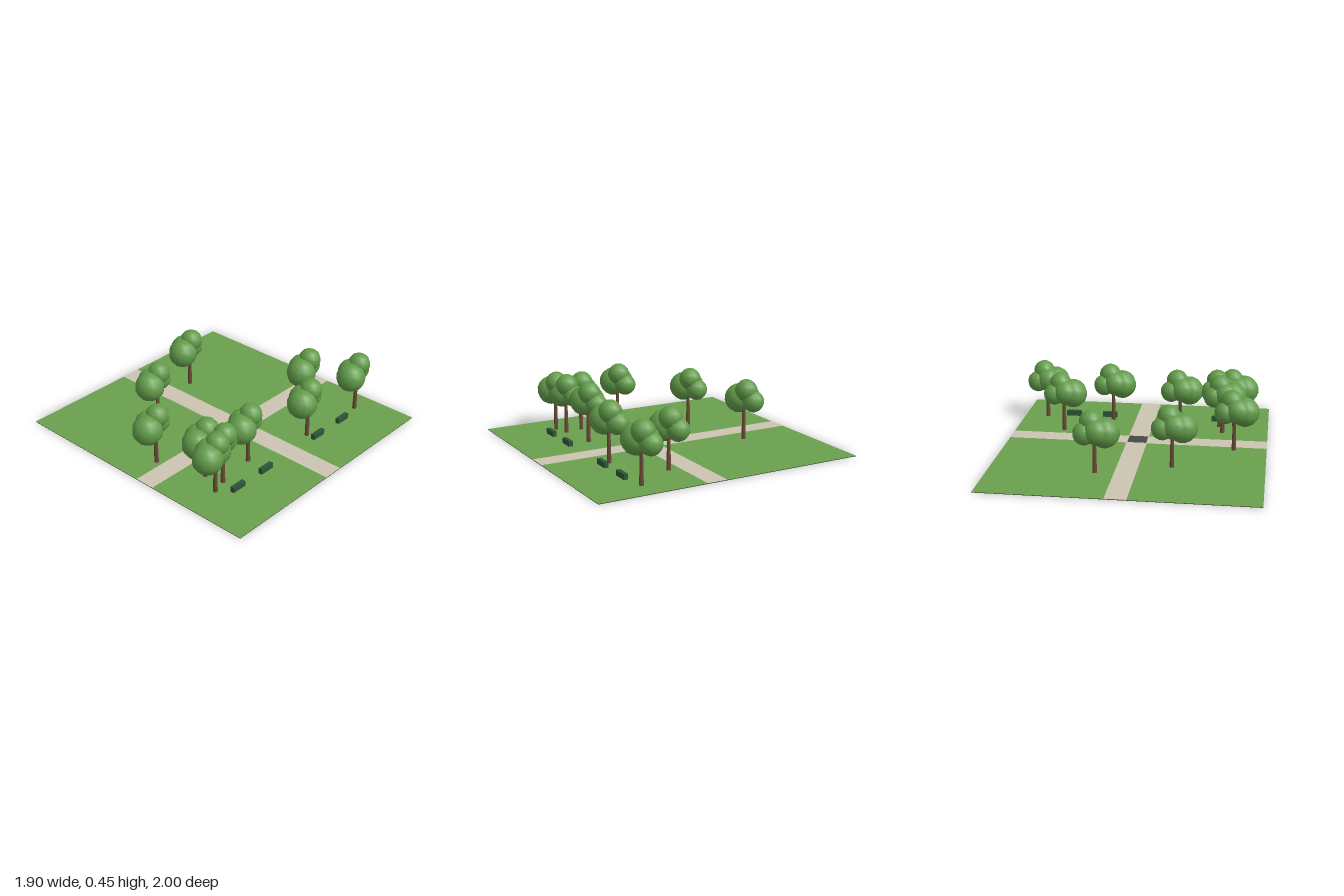
import * as THREE from 'three';

function material(name, color) {
  const m = new THREE.MeshStandardMaterial({ color });
  m.name = name;
  return m;
}

export function createModel() {
  const park = new THREE.Group();
  park.name = 'park';

  const grass = material('grass green', 0x6aa04e);
  const paving = material('path beige', 0xcdc4b2);
  const stone = material('plaza grey', 0x474744);
  const soil = material('underside dark', 0x3a3d32);
  const bark = material('bark brown', 0x6a4a36);
  const leaves = material('leaf green', 0x629c4a);
  const paint = material('bench green', 0x2e5439);

  function add(parent, name, geometry, mat, x, y, z) {
    const mesh = new THREE.Mesh(geometry, mat);
    mesh.name = name;
    mesh.position.set(x, y, z);
    parent.add(mesh);
    return mesh;
  }

  // Thin dark base, then flat layers: lawn, crossing paths, central square
  add(park, 'base', new THREE.BoxGeometry(1.9, 0.003, 2), soil, 0, 0.0015, 0);
  const sheet = (name, w, d, mat, y, z) =>
    add(park, name, new THREE.PlaneGeometry(w, d).rotateX(-Math.PI / 2), mat, 0, y, z);
  sheet('lawn', 1.9, 2, grass, 0.004, 0);
  sheet('crossPath', 1.9, 0.15, paving, 0.0055, 0.14);
  sheet('mainPath', 0.15, 2, paving, 0.006, 0);
  sheet('centralSquare', 0.14, 0.14, stone, 0.0075, 0.14);

  // Trees share one trunk and one set of foliage lobes: x, y, z, radius
  const trunkGeometry = new THREE.CylinderGeometry(0.011, 0.016, 0.28, 8);
  const lobeGeometry = new THREE.SphereGeometry(1, 12, 9);
  const lobes = [
    [-0.07, 0.297, -0.002, 0.107],
    [-0.022, 0.312, -0.042, 0.092],
    [0.065, 0.295, -0.035, 0.08],
    [0.022, 0.372, -0.002, 0.082],
  ];
  const treeSpots = [
    [0.207, -0.55], [-0.306, -0.38], [-0.714, 0.017], [-0.61, 0.38], [-0.28, 0.475],
    [0.582, 0.296], [0.247, 0.573], [0.772, 0.605], [-0.692, 0.55], [-0.58, 0.515],
  ];
  for (const [x, z] of treeSpots) {
    const tree = new THREE.Group();
    tree.name = 'tree';
    tree.position.set(x, 0, z);
    add(tree, 'trunk', trunkGeometry, bark, 0, 0.142, 0);
    for (const [lx, ly, lz, r] of lobes) {
      add(tree, 'foliage', lobeGeometry, leaves, lx, ly, lz).scale.setScalar(r);
    }
    park.add(tree);
  }

  // Row of block benches
  const benchGeometry = new THREE.BoxGeometry(0.114, 0.04, 0.03);
  for (const x of [-0.57, -0.285, 0.285, 0.57]) {
    add(park, 'bench', benchGeometry, paint, x, 0.024, 0.641);
  }

  return park;
}
